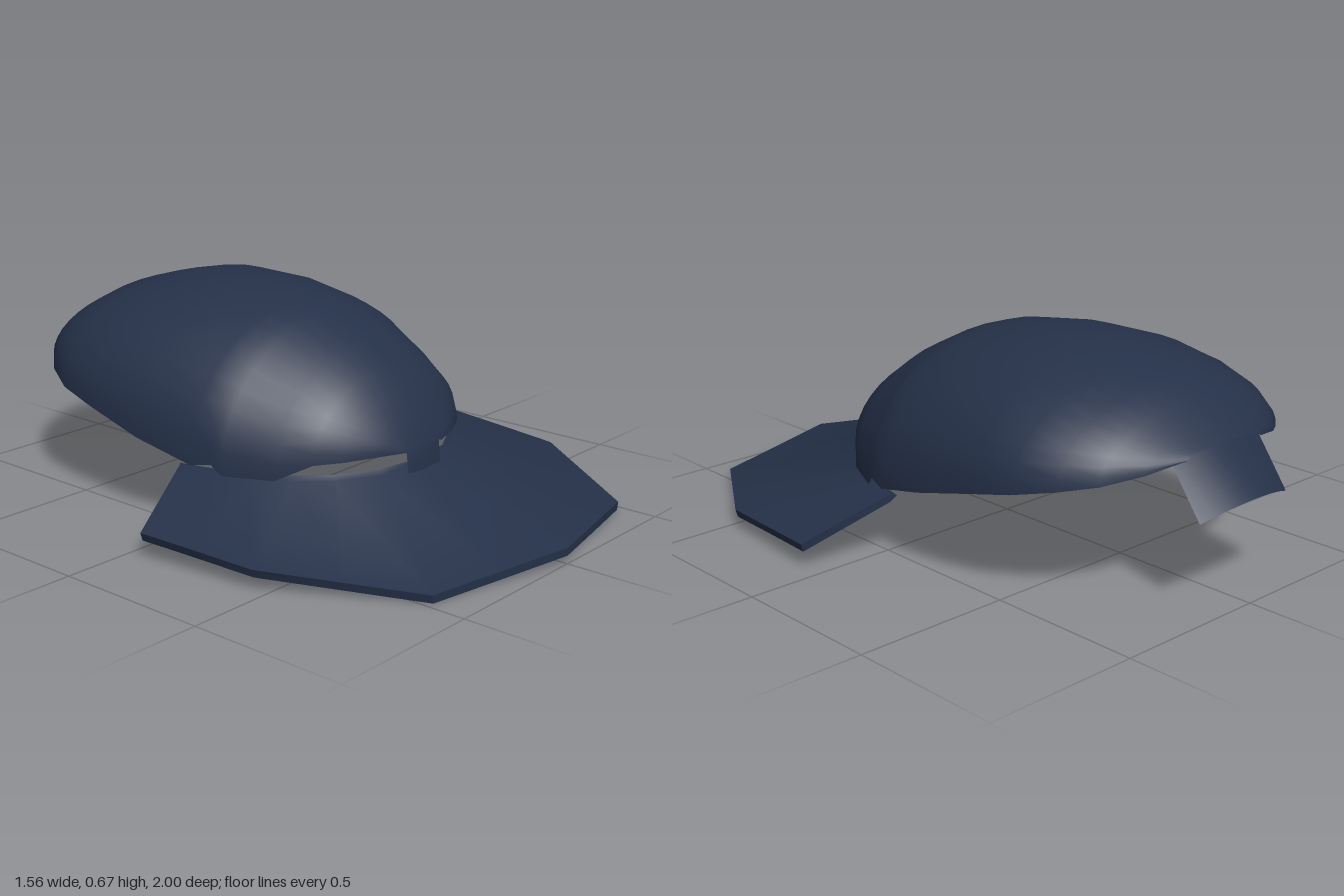
import * as THREE from 'three';
import { toCreasedNormals } from 'three/addons/utils/BufferGeometryUtils.js';

const navy = new THREE.MeshStandardMaterial({ color: 0x253149, side: THREE.DoubleSide });
navy.name = 'navy';

// Skins rows of [x, y, z] points, each row having the same length
function skin(name, rows, crease = 0.7) {
  const n = rows[0].length, index = [];
  for (let i = 0; i < rows.length - 1; i++) {
    for (let j = 0; j < n - 1; j++) {
      const a = i * n + j, b = a + 1, c = a + n, d = c + 1;
      index.push(a, b, c, b, d, c);
    }
  }
  const g = new THREE.BufferGeometry();
  g.setAttribute('position', new THREE.Float32BufferAttribute(rows.flat(2), 3));
  g.setIndex(index);
  const mesh = new THREE.Mesh(toCreasedNormals(g, crease), navy);
  mesh.name = name;
  return mesh;
}

// Open dome: arched sections from front to back as [z, half width, rim y, top y]
function makeShell() {
  const stations = [
    [0.485, 0.08, 0.245, 0.255], [0.46, 0.17, 0.25, 0.32], [0.4, 0.28, 0.245, 0.405],
    [0.34, 0.35, 0.24, 0.47], [0.25, 0.42, 0.19, 0.535], [0.1, 0.49, 0.19, 0.61],
    [0.07, 0.5, 0.22, 0.62], [0, 0.52, 0.21, 0.643], [-0.2, 0.548, 0.26, 0.67],
    [-0.42, 0.54, 0.315, 0.67], [-0.56, 0.52, 0.345, 0.64], [-0.68, 0.46, 0.37, 0.605],
    [-0.77, 0.385, 0.39, 0.56], [-0.84, 0.28, 0.415, 0.5], [-0.885, 0.16, 0.44, 0.46],
  ];
  const steps = 20;
  const rows = stations.map(([z, w, rim, top]) => Array.from({ length: steps + 1 }, (_, j) => {
    const a = Math.PI * j / steps;
    return [w * Math.cos(a), rim + (top - rim) * Math.sin(a), z];
  }));
  return skin('domeShell', rows, 1.2);
}

// Sloping collar: a thin closed section swept round the front from one side to the other
function makeCollar() {
  // outer x, y, z then inner x, y, z
  const half = [
    [0, 0.055, 1, 0, 0.185, 0.47],
    [0.24, 0.042, 0.94, 0.16, 0.185, 0.45],
    [0.48, 0.03, 0.88, 0.29, 0.185, 0.38],
    [0.61, 0.05, 0.67, 0.39, 0.187, 0.28],
    [0.74, 0.07, 0.46, 0.45, 0.19, 0.18],
    [0.76, 0.078, 0.26, 0.49, 0.195, 0.07],
    [0.78, 0.085, 0.06, 0.52, 0.203, -0.04],
  ];
  const mirrored = half.slice(1).reverse().map(([a, b, c, d, e, f]) => [-a, b, c, -d, e, f]);
  const t = 0.025;
  const rows = [...mirrored, ...half].map(([ox, oy, oz, ix, iy, iz]) => [
    [ox, oy, oz],
    [ox * 0.99, oy - t, oz],
    [ix, iy - t, iz],
    [ix * 0.97, 0.2, iz - 0.015],
    [ix, iy, iz],
    [ox, oy, oz],
  ]);
  const group = new THREE.Group();
  group.name = 'collar';
  group.add(skin('collarPlate', rows));
  // End caps
  for (const row of [rows[0], rows[rows.length - 1]]) {
    group.add(skin('collarEnd', [[row[0], row[4], row[3]], [row[1], row[2], row[2]]]));
  }
  return group;
}

// Curved flap hanging from the back of the dome
function makeBackFlap() {
  const section = [];
  for (let i = -4; i <= 4; i++) {
    const s = i / 4, k = s * s;
    section.push([
      [0.19 * s, 0.46 - 0.02 * k, -0.865 + 0.015 * k],
      [0.19 * s, 0.32 - 0.035 * k, -1 + 0.037 * k],
    ]);
  }
  return skin('backFlap', section);
}

// Short tab joining the dome front to the collar
function makeFrontTab() {
  const rows = [-0.08, 0, 0.08].map((x) => {
    const back = x * x * 1.5;
    return [[x, 0.27, 0.475 - back], [x, 0.245, 0.486 - back], [x, 0.175, 0.495 - back]];
  });
  return skin('frontTab', rows);
}

export function createModel() {
  const model = new THREE.Group();
  model.name = 'helmetAndCollar';
  model.add(makeShell(), makeCollar(), makeBackFlap(), makeFrontTab());
  return model;
}
